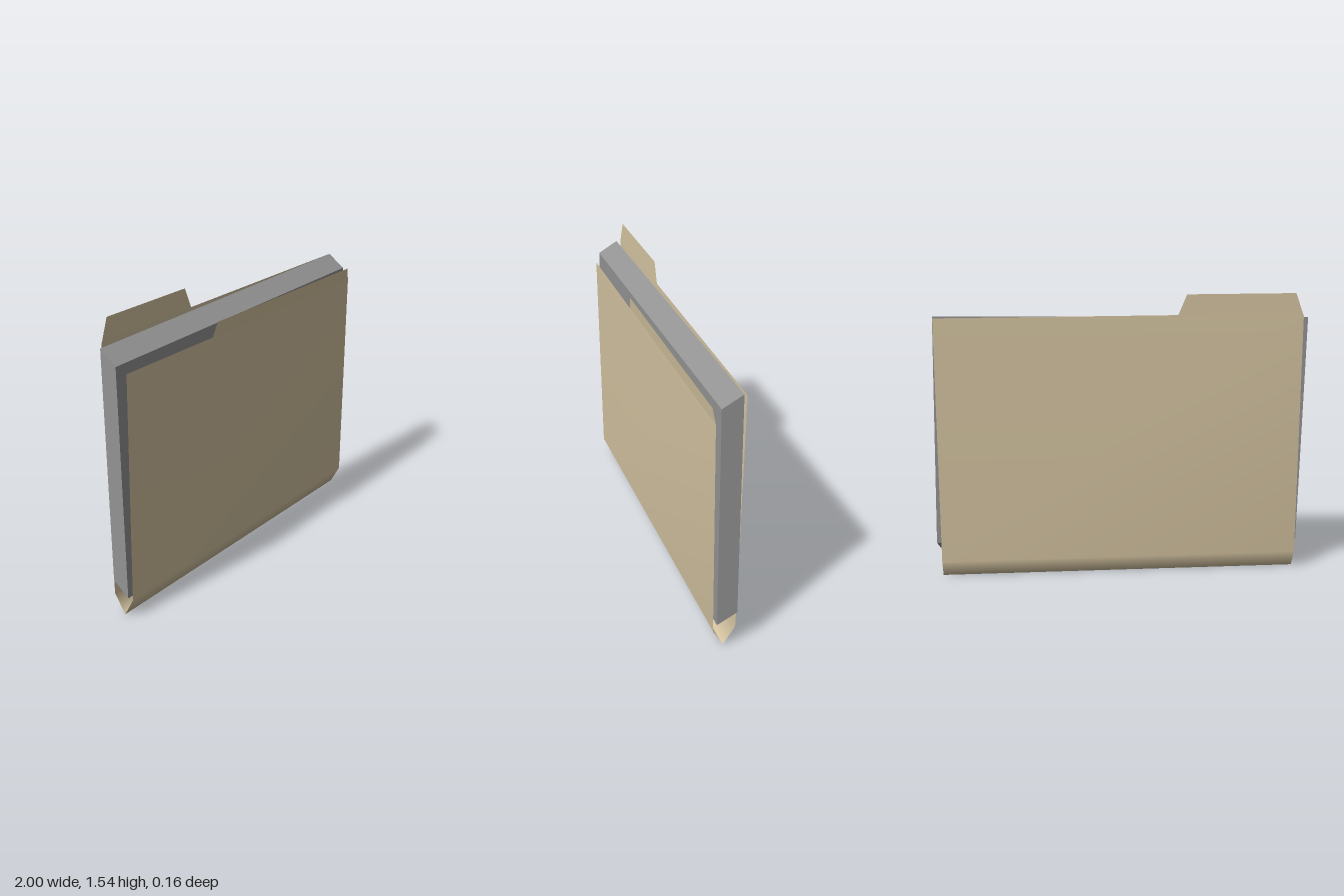
import * as THREE from 'three';

const card = new THREE.MeshStandardMaterial({ color: 0xd6c5a2, side: THREE.DoubleSide });
card.name = 'tan card';
const paper = new THREE.MeshStandardMaterial({ color: 0x949494 });
paper.name = 'grey paper';

// Skin joining horizontal rows [y, z, leftX, rightX] into one folded sheet
function foldedSheet(rows) {
  const positions = [], index = [];
  rows.forEach(([y, z, x0, x1], i) => {
    positions.push(x0, y, z, x1, y, z);
    if (i === 0) return;
    const a = 2 * i - 2;
    // level steps in the outline have no area and need no faces
    if (rows[i - 1][0] !== y) index.push(a, a + 2, a + 1, a + 1, a + 2, a + 3);
  });
  const geometry = new THREE.BufferGeometry();
  geometry.setAttribute('position', new THREE.Float32BufferAttribute(positions, 3));
  geometry.setIndex(index);
  geometry.computeVertexNormals();
  return geometry;
}

export function createModel() {
  const group = new THREE.Group();
  group.name = 'fileFolder';

  // Folder: down the front cover, round the bottom fold, up the back to the tab
  const L = -0.96, R = 0.975;
  const folder = new THREE.Mesh(foldedSheet([
    [1.38, 0.078, -0.28, 0.95],
    [1.305, 0.07, -0.31, R],
    [1.305, 0.07, L, R],
    [0.1, 0.055, L, R],
    [0, 0, L, R],
    [0.1, -0.064, L, R],
    [1.42, -0.078, L, R],
    [1.432, -0.078, L + 0.005, R],
    [1.432, -0.078, L + 0.005, -0.295],
    [1.54, -0.08, -0.915, -0.34],
  ]), card);
  folder.name = 'folder';
  group.add(folder);

  // Stack of paper: a box, slightly turned and slid towards the back
  const stack = new THREE.BoxGeometry(2, 2, 2).applyMatrix4(new THREE.Matrix4().set(
    0.982, -0.011, -0.006, 0,
    0.015, 0.615, -0.0325, 0.7775,
    0, 0, 0.051, -0.011,
    0, 0, 0, 1,
  ));
  stack.computeVertexNormals();
  const pages = new THREE.Mesh(stack, paper);
  pages.name = 'paperStack';
  group.add(pages);

  return group;
}
